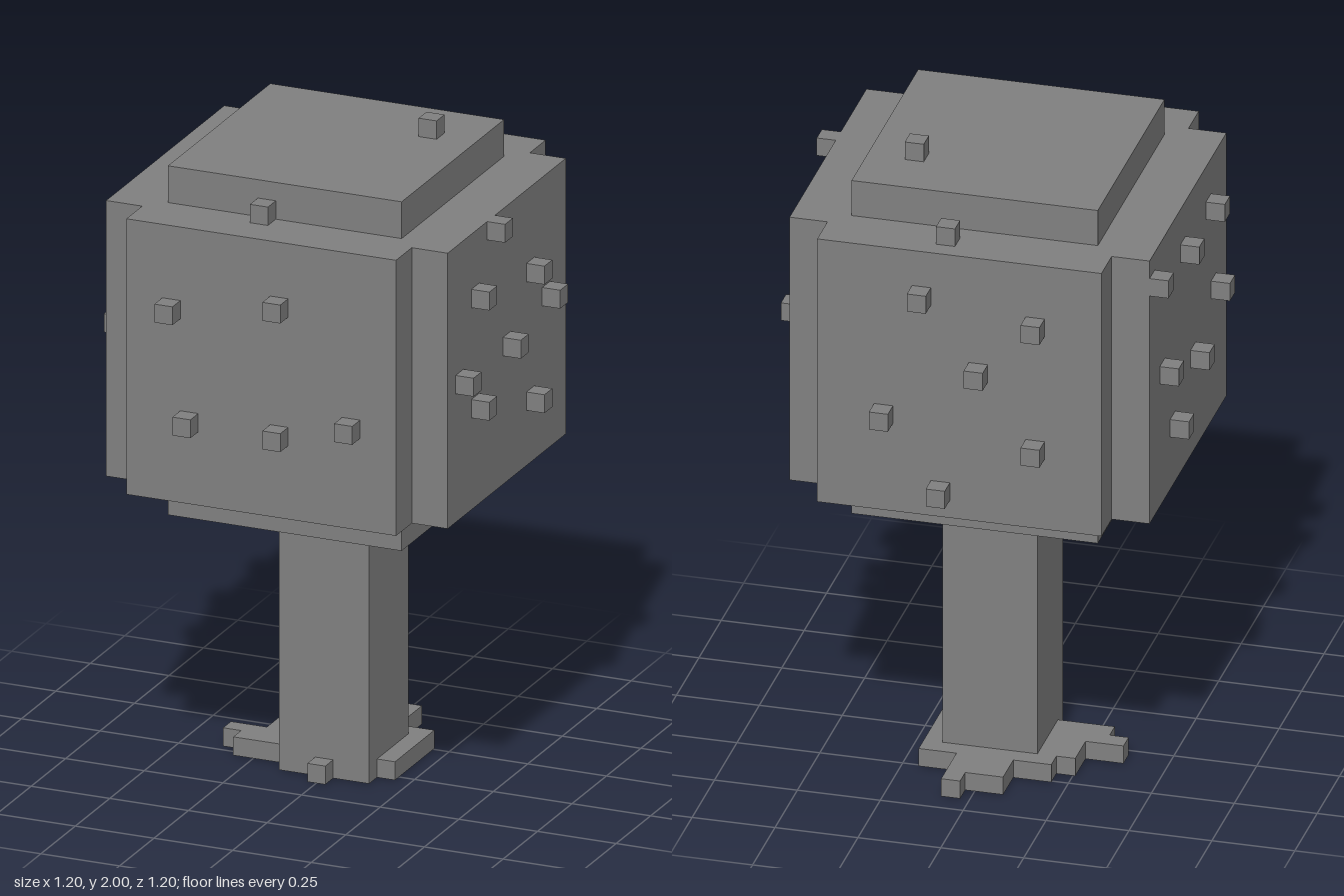
import * as THREE from 'three';

// Everything sits on a grid: 21 x 35 x 21 cells, origin at the ground corner.
const U = 2 / 35;
const HALF = 10.5;
const material = new THREE.MeshStandardMaterial({ color: 0x808080, flatShading: true });

function addMesh(parent, name, geometry) {
  const mesh = new THREE.Mesh(geometry, material);
  mesh.name = name;
  parent.add(mesh);
  return mesh;
}

// Box between two grid corners
function addBox(parent, name, [x0, y0, z0], [x1, y1, z1]) {
  const mesh = addMesh(parent, name,
    new THREE.BoxGeometry((x1 - x0) * U, (y1 - y0) * U, (z1 - z0) * U));
  mesh.position.set(((x0 + x1) / 2 - HALF) * U, ((y0 + y1) / 2) * U, ((z0 + z1) / 2 - HALF) * U);
}

// Upright slab from a ground-plan outline of grid [x, z] points
function addSlab(parent, name, outline, y0, y1) {
  const shape = new THREE.Shape(
    outline.map(([x, z]) => new THREE.Vector2((x - HALF) * U, (HALF - z) * U)));
  const geometry = new THREE.ExtrudeGeometry(shape, { depth: (y1 - y0) * U, bevelEnabled: false });
  geometry.rotateX(-Math.PI / 2);
  addMesh(parent, name, geometry).position.y = y0 * U;
}

export function createModel() {
  const tree = new THREE.Group();
  tree.name = 'blockTree';

  // Spreading roots, one cell high
  addSlab(tree, 'roots', [
    [11, 3], [12, 3], [12, 6], [14, 6], [14, 11], [13, 11], [13, 12], [11, 12],
    [11, 13], [10, 13], [10, 12], [8, 12], [8, 11], [5, 11], [5, 10], [4, 10],
    [4, 9], [6, 9], [6, 7], [7, 7], [7, 6], [9, 6], [9, 4], [11, 4],
  ], 0, 1);

  addBox(tree, 'trunk', [8, 1, 7], [13, 15, 12]);

  // Canopy: notched block with a smaller slab below and above
  addBox(tree, 'canopyUnderside', [4, 15, 4], [17, 17, 17]);
  addSlab(tree, 'canopy', [
    [3, 1], [18, 1], [18, 3], [20, 3], [20, 18], [18, 18],
    [18, 20], [3, 20], [3, 18], [1, 18], [1, 3], [3, 3],
  ], 17, 32);
  addBox(tree, 'canopyCap', [4, 32, 4], [17, 34, 17]);

  // Single-cell leaf bumps scattered over each face
  const leaves = new THREE.Group();
  leaves.name = 'leaves';
  tree.add(leaves);
  const faces = {
    leafFront: [[5, 27], [11, 28], [6, 21], [11, 21], [15, 22]].map(([x, y]) => [x, y, 20]),
    leafBack: [[12, 29], [6, 28], [9, 25], [14, 22], [6, 21], [11, 18]].map(([x, y]) => [x, y, 0]),
    leafLeft: [[12, 31], [14, 28], [7, 27], [5, 25], [16, 24], [10, 24], [14, 22], [7, 20]]
      .map(([z, y]) => [20, y, z]),
    leafRight: [[3, 30], [9, 29], [14, 29], [15, 24], [5, 24], [11, 22], [7, 20]]
      .map(([z, y]) => [0, y, z]),
    leafTop: [[9, 32, 17], [11, 32, 2], [14, 34, 7]],
  };
  for (const [name, cells] of Object.entries(faces)) {
    for (const cell of cells) addBox(leaves, name, cell, cell.map((v) => v + 1));
  }

  return tree;
}
